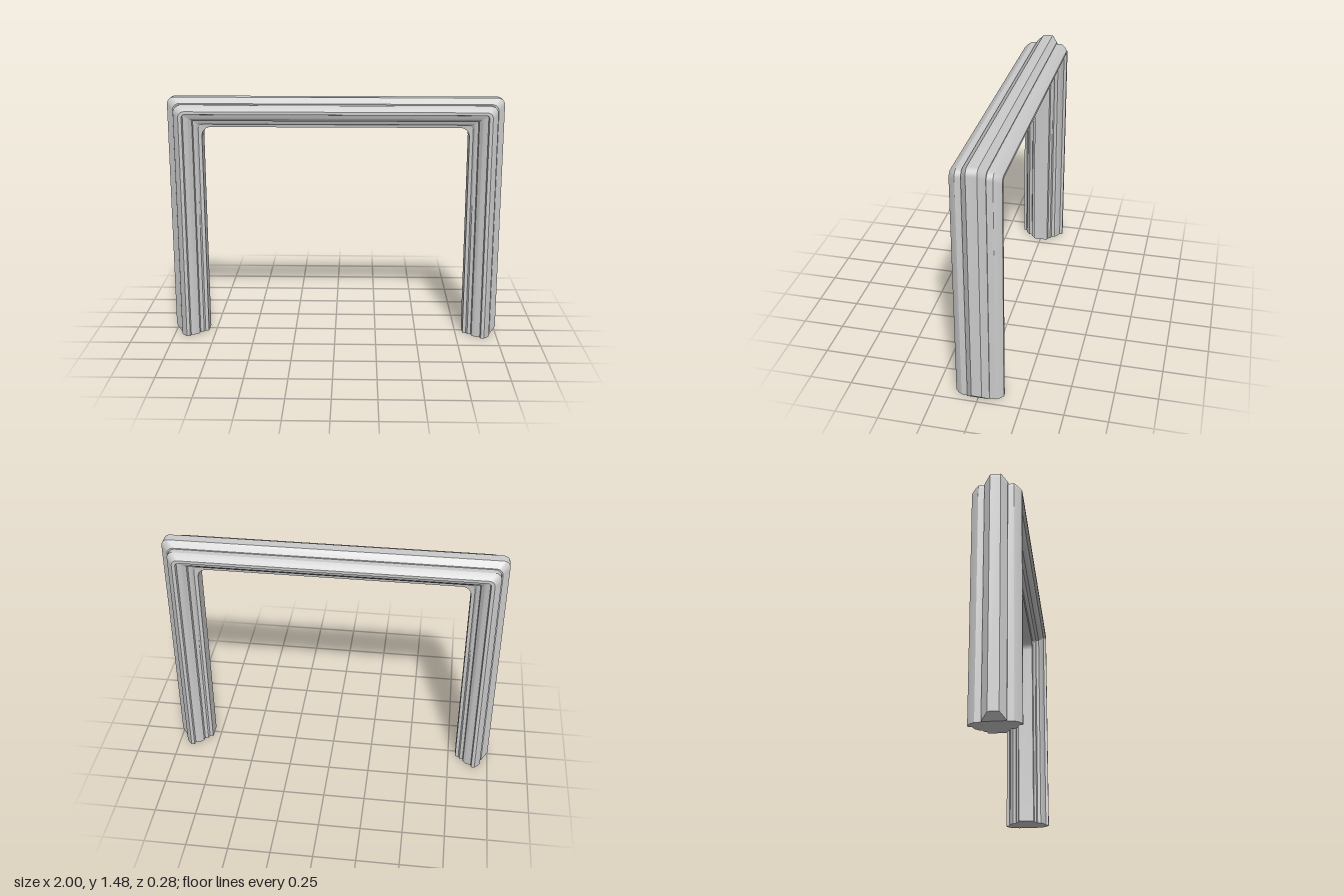
import * as THREE from 'three';
import { toCreasedNormals } from 'three/addons/utils/BufferGeometryUtils.js';

const HALF_WIDTH = 1, HEIGHT = 1.475, LINTEL_SCALE = 0.86, CORNER_STEPS = 6;

// Half of the moulding section: [distance in from the outer edge, z, corner radius]
const half = [
  [0, 0.03, 0.04], [0.038, 0.065, 0.04], [0.045, 0.065, 0.04], [0.045, 0.1, 0.04],
  [0.058, 0.12, 0.04], [0.08, 0.14, 0.035], [0.1, 0.14, 0.02], [0.104, 0.122, 0.012],
  [0.118, 0.115, 0.01], [0.135, 0.11, 0.008], [0.153, 0.092, 0.005], [0.156, 0.072, 0.005],
  [0.176, 0.066, 0.01], [0.184, 0.052, 0.03], [0.204, 0.048, 0.055],
];
const section = [...half, ...half.map(([d, z, r]) => [d, -z, r]).reverse()];

// Path of one section point: up the right leg (x < 0), over the lintel, down the other leg
function framePath([d, z, r]) {
  const x = HALF_WIDTH - d, top = HEIGHT - LINTEL_SCALE * d;
  const foot = Math.max(0, 0.038 - d); // chamfered foot of the outer ridge
  const side = [[x, foot]];
  for (let k = 0; k <= CORNER_STEPS; k++) {
    const a = (k / CORNER_STEPS) * Math.PI / 2;
    side.push([x - r + r * Math.cos(a), top - r + r * Math.sin(a)]);
  }
  return [
    ...side.map(([px, py]) => [-px, py, z]),
    ...side.reverse().map(([px, py]) => [px, py, z]),
  ];
}

function frameGeometry() {
  const paths = section.map(framePath);
  const n = section.length, m = paths[0].length;
  const index = [];
  const id = (i, j) => (i % n) * m + j;

  // Moulded surface swept around the opening
  for (let i = 0; i < n; i++) {
    for (let j = 0; j < m - 1; j++) {
      index.push(id(i, j), id(i + 1, j), id(i + 1, j + 1));
      index.push(id(i, j), id(i + 1, j + 1), id(i, j + 1));
    }
  }

  // Feet: flat sole plus the sloping chamfer under the ridge
  const sole = section.map((_, i) => i).slice(1, n - 1).reverse();
  const contour = sole.map((i) => new THREE.Vector2(section[i][0], section[i][1]));
  const faces = THREE.ShapeUtils.triangulateShape(contour, [])
    .map((f) => f.map((k) => sole[k]));
  faces.push([n - 1, n - 2, 1], [n - 1, 1, 0]);
  for (const [a, b, c] of faces) {
    index.push(id(a, 0), id(b, 0), id(c, 0));
    index.push(id(a, m - 1), id(c, m - 1), id(b, m - 1));
  }

  const geometry = new THREE.BufferGeometry();
  geometry.setAttribute('position', new THREE.Float32BufferAttribute(paths.flat(2), 3));
  geometry.setIndex(index);
  return toCreasedNormals(geometry, 0.5);
}

export function createModel() {
  const group = new THREE.Group();
  group.name = 'doorway';
  const frame = new THREE.Mesh(
    frameGeometry(),
    new THREE.MeshStandardMaterial({ color: 0xcccccc }),
  );
  frame.name = 'mouldedFrame';
  group.add(frame);
  return group;
}
